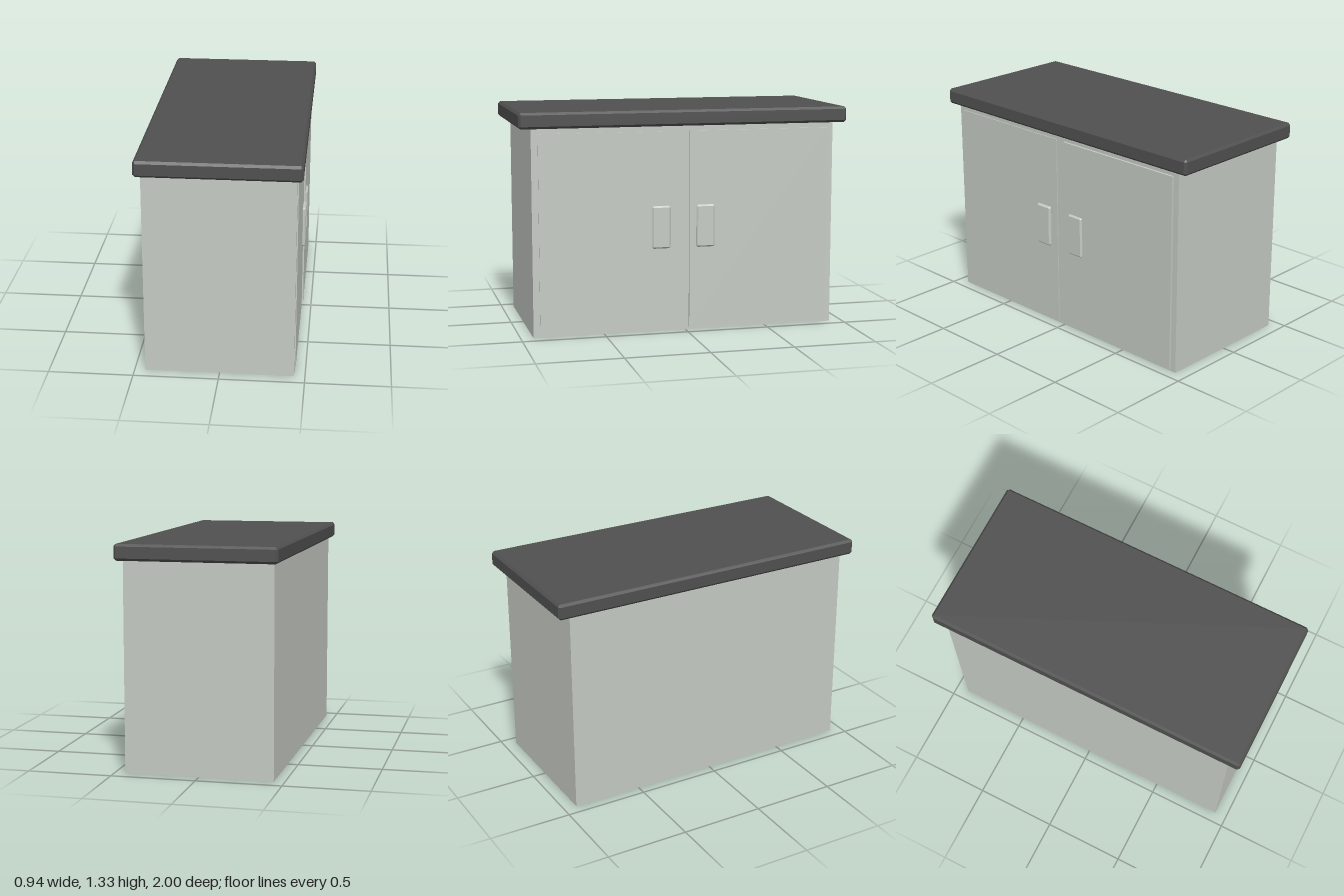
import * as THREE from 'three';
import { ConvexGeometry } from 'three/addons/geometries/ConvexGeometry.js';

// Box with every edge cut off at 45 degrees by c
function chamferedBox(w, h, d, c) {
  const points = [];
  for (const sx of [-1, 1]) for (const sy of [-1, 1]) for (const sz of [-1, 1]) {
    for (let axis = 0; axis < 3; axis++) {
      const cut = [0, 1, 2].map((i) => (i === axis ? 0 : c));
      points.push(new THREE.Vector3(
        sx * (w / 2 - cut[0]), sy * (h / 2 - cut[1]), sz * (d / 2 - cut[2])));
    }
  }
  return new ConvexGeometry(points);
}

export function createModel() {
  const group = new THREE.Group();
  const paint = new THREE.MeshStandardMaterial({ color: 0xc5cac3 });
  paint.name = 'pale grey green';
  const slab = new THREE.MeshStandardMaterial({ color: 0x505050 });
  slab.name = 'dark grey';

  // Adds a box spanning the given ranges, with optional chamfered edges
  function addBox(name, material, [x0, x1], [y0, y1], [z0, z1], chamfer = 0) {
    const size = [x1 - x0, y1 - y0, z1 - z0];
    const geometry = chamfer ? chamferedBox(...size, chamfer) : new THREE.BoxGeometry(...size);
    const mesh = new THREE.Mesh(geometry, material);
    mesh.name = name;
    mesh.position.set((x0 + x1) / 2, (y0 + y1) / 2, (z0 + z1) / 2);
    group.add(mesh);
  }

  // Cabinet and overhanging worktop
  addBox('cabinetBody', paint, [-0.438, 0.436], [0, 1.25], [-0.922, 0.925]);
  addBox('worktop', slab, [-0.471, 0.471], [1.238, 1.333], [-1, 1], 0.014);

  // Two doors on the +x side, one slightly prouder than the other
  addBox('frontDoor', paint, [0.43, 0.442], [0.018, 1.207], [0.045, 0.885]);
  addBox('rearDoor', paint, [0.43, 0.449], [0.018, 1.207], [-0.885, -0.02]);

  // Chamfered pull handles beside the centre gap
  addBox('frontHandle', paint, [0.436, 0.461], [0.507, 0.763], [0.096, 0.21], 0.009);
  addBox('rearHandle', paint, [0.436, 0.461], [0.507, 0.763], [-0.175, -0.062], 0.009);

  return group;
}
